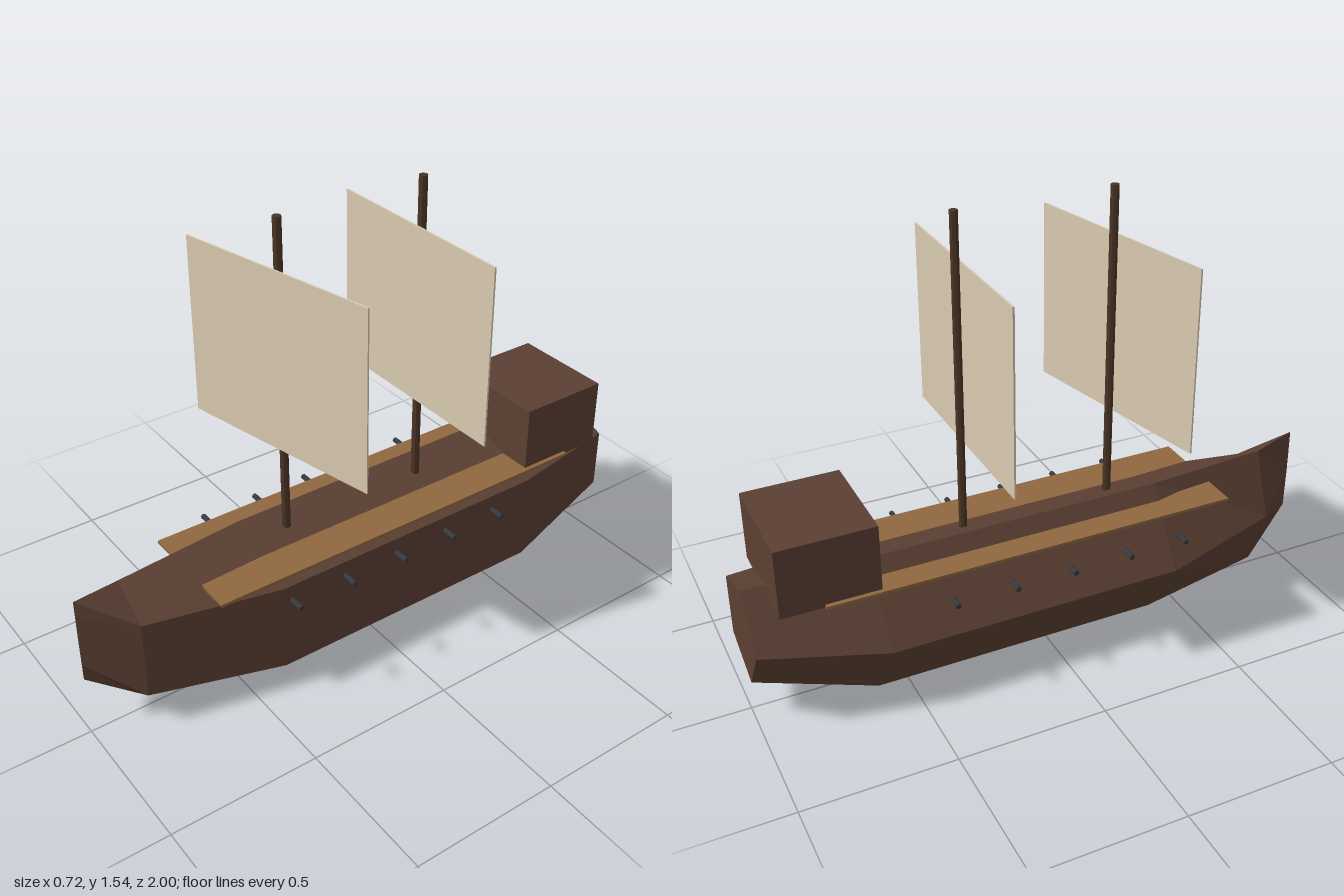
import * as THREE from 'three';

export function createModel() {
  const group = new THREE.Group();
  group.name = 'sailingShip';
  const mat = (name, color, extra = {}) => {
    const m = new THREE.MeshStandardMaterial({ color, flatShading: true, ...extra });
    m.name = name;
    return m;
  };
  const hullWood = mat('hullWood', 0x5c4033);
  const deckWood = mat('deckWood', 0x8f6840);
  const mastWood = mat('mastWood', 0x4a3426);
  const canvas = mat('sailCanvas', 0xd8cab0);
  const iron = mat('iron', 0x36383d);

  const add = (name, geometry, material, x, y, z) => {
    const mesh = new THREE.Mesh(geometry, material);
    mesh.name = name;
    mesh.position.set(x, y, z);
    group.add(mesh);
    return mesh;
  };

  // Hull: five-sided cross-sections joined from stern to bow [z, centre y, radius x, radius y]
  const sections = [
    [-1, 0.318, 0.17, 0.181],
    [-0.6, 0.255, 0.24, 0.263],
    [0.4, 0.255, 0.24, 0.263],
    [0.84, 0.278, 0.12, 0.234],
    [1, 0.37, 0.003, 0.158],
  ];
  const sides = 5, points = [], index = [];
  for (const [z, cy, rx, ry] of sections) {
    for (let k = 0; k < sides; k++) {
      const a = Math.PI + (k / sides) * Math.PI * 2;
      points.push(Math.cos(a) * rx, cy + Math.sin(a) * ry, z);
    }
  }
  for (let i = 0; i < sections.length - 1; i++) {
    for (let k = 0; k < sides; k++) {
      const a = i * sides + k, b = i * sides + (k + 1) % sides;
      index.push(a, b, b + sides, a, b + sides, a + sides);
    }
  }
  // Stern and bow caps
  const bow = (sections.length - 1) * sides;
  for (let k = 1; k < sides - 1; k++) {
    index.push(0, k + 1, k, bow, bow + k, bow + k + 1);
  }
  const indexed = new THREE.BufferGeometry();
  indexed.setAttribute('position', new THREE.Float32BufferAttribute(points, 3));
  indexed.setIndex(index);
  const hull = indexed.toNonIndexed();
  hull.computeVertexNormals();
  add('hull', hull, hullWood, 0, 0, 0);

  // Deck and stern cabin
  add('deck', new THREE.BoxGeometry(0.39, 0.01, 1.4), deckWood, 0, 0.45, -0.08);
  add('cabin', new THREE.BoxGeometry(0.36, 0.235, 0.32), hullWood, 0, 0.5625, -0.76);

  // Masts with their sails
  const mast = new THREE.CylinderGeometry(0.014, 0.014, 1.08, 8);
  const sail = new THREE.BoxGeometry(0.72, 0.605, 0.006);
  add('foreMast', mast, mastWood, 0, 1.0, 0.26);
  add('mainMast', mast, mastWood, 0, 1.0, -0.26);
  add('foreSail', sail, canvas, 0, 1.078, 0.278).rotation.y = 0.216;
  add('mainSail', sail, canvas, 0, 1.078, -0.241);

  // Rows of guns along both sides
  const gun = new THREE.CylinderGeometry(0.009, 0.009, 0.052, 8).rotateZ(Math.PI / 2);
  for (const side of [-1, 1]) {
    for (let i = -2; i <= 2; i++) {
      add('gun', gun, iron, side * 0.266, 0.4, i * 0.2);
    }
  }
  return group;
}
